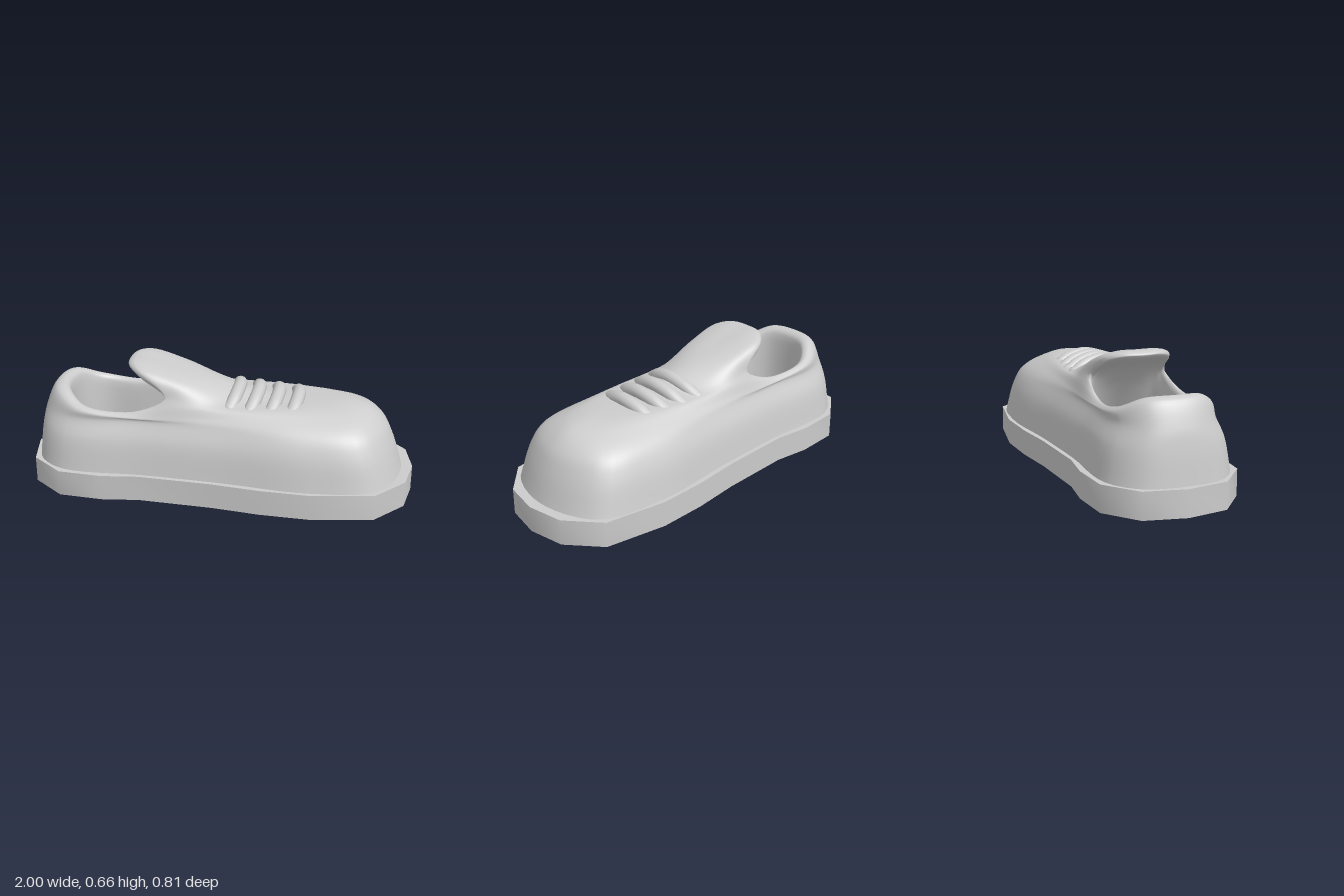
import * as THREE from 'three';
import { toCreasedNormals } from 'three/addons/utils/BufferGeometryUtils.js';

const material = new THREE.MeshStandardMaterial({ color: 0xcccccc });

function addMesh(parent, name, geometry) {
  const mesh = new THREE.Mesh(geometry, material);
  mesh.name = name;
  parent.add(mesh);
  return mesh;
}

// Plan of the side wall: fraction of length and of half width, heel to toe
const plan = [[0, 0], [.02, .52], [.097, .82], [.322, .84], [.53, .9], [.767, 1], [.94, .81], [1, 0]];

function wallRing(y, heel, toe, halfWidth) {
  return plan.map(([u, w]) => new THREE.Vector3(heel + u * (toe - heel), y, w * halfWidth));
}

// Collar edge from heel centre to the waist
const collar = [[-.835, .526, 0], [-.805, .518, .135], [-.69, .46, .222], [-.46, .437, .226]];

// A ring that follows the collar (scaled, lowered) and then arches over the
// instep from its edge point to its centre point; bend shapes the arch in plan
function instepRing({ scale, drop, centre: [xc, yc], edge: [xe, ye, ze], bend }) {
  const rear = collar.map(([x, y, z]) =>
    new THREE.Vector3(-.46 + (x + .46) * scale, Math.max(y - drop, .12), z * scale));
  const front = [1, 2 / 3, 1 / 3, 0].map((a) => new THREE.Vector3(
    xc + (xe - xc) * a ** bend, yc + (ye - yc) * a ** 3.5, ze * Math.sin(a * Math.PI / 2)));
  return [...rear, ...front];
}

const instep = [
  { scale: 1.1, drop: .016, centre: [.73, .474], edge: [-.1, .435, .24], bend: 2 },      // toe crown
  { scale: 1, drop: 0, centre: [.25, .495], edge: [-.2, .485, .222], bend: 1.2 },        // vamp
  { scale: .935, drop: .007, centre: [-.17, .603], edge: [-.25, .515, .205], bend: 1.5 }, // tongue base
  { scale: .9, drop: .02, centre: [-.445, .664], edge: [-.262, .518, .2], bend: 2.5 },   // tongue top edge
  { scale: .88, drop: .045, centre: [-.48, .643], edge: [-.26, .512, .192], bend: 2.3 }, // tongue lower edge
  { scale: .87, drop: .1, centre: [-.245, .525], edge: [-.25, .48, .185], bend: 2 },     // tongue root
  { scale: .87, drop: .5, centre: [.05, .12], edge: [-.25, .12, .185], bend: 1.5 },      // foot of the lining
];

// Mirrors the half rings, then spans a smooth closed surface through them
function loftRings(halfRings, around, up) {
  const loops = halfRings.map((side) => {
    const mirrored = side.slice(1, -1).reverse().map((p) => new THREE.Vector3(p.x, p.y, -p.z));
    return new THREE.CatmullRomCurve3([...side, ...mirrored], true, 'centripetal');
  });
  const positions = [];
  const index = [];
  const at = (i, j) => (i % around) * (up + 1) + j;
  for (let i = 0; i < around; i++) {
    const column = new THREE.CatmullRomCurve3(loops.map((l) => l.getPoint(i / around)), false, 'centripetal');
    for (let j = 0; j <= up; j++) positions.push(...column.getPoint(j / up).toArray());
    for (let j = 0; j < up; j++) {
      const a = at(i, j), b = at(i + 1, j), c = at(i + 1, j + 1), d = at(i, j + 1);
      index.push(a, b, c, a, c, d);
    }
  }
  const geometry = new THREE.BufferGeometry();
  geometry.setAttribute('position', new THREE.Float32BufferAttribute(positions, 3));
  geometry.setIndex(index);
  geometry.computeVertexNormals();
  return geometry;
}

// Faceted outline with a vertical wall
function soleGeometry() {
  const half = [[-1, 0], [-.96, .21], [-.795, .345], [-.57, .362], [-.38, .34], [0, .362],
    [.25, .393], [.5, .404], [.82, .353], [.965, .19], [1, 0]];
  const mirrored = half.slice(1, -1).reverse().map(([x, z]) => [x, -z]);
  const shape = new THREE.Shape([...half, ...mirrored].map((p) => new THREE.Vector2(...p)));
  const geometry = new THREE.ExtrudeGeometry(shape, { depth: 0.135, bevelEnabled: false });
  geometry.rotateX(-Math.PI / 2);
  return toCreasedNormals(geometry, 0.95);
}

// A fat cord bowed over the vamp, with rounded ends
function addLace(parent, x, crown, number) {
  const lace = new THREE.Group();
  lace.name = 'lace' + number;
  const radius = 0.035;
  const points = [-1, -0.55, 0, 0.55, 1].map((t) =>
    new THREE.Vector3(x + 0.015 - 0.03 * t * t, crown - radius - 0.062 * t * t, t * 0.165));
  addMesh(lace, 'laceCord', new THREE.TubeGeometry(new THREE.CatmullRomCurve3(points), 20, radius, 12));
  for (const end of [points[0], points[4]]) {
    addMesh(lace, 'laceEnd', new THREE.SphereGeometry(radius, 12, 8)).position.copy(end);
  }
  parent.add(lace);
}

export function createModel() {
  const shoe = new THREE.Group();
  shoe.name = 'shoe';
  addMesh(shoe, 'sole', soleGeometry());

  const walls = [wallRing(.13, -.965, .945, .382), wallRing(.3, -.945, .89, .345), wallRing(.395, -.925, .84, .295)];
  addMesh(shoe, 'upper', loftRings([...walls, ...instep.map(instepRing)], 84, 54));

  const laces = new THREE.Group();
  laces.name = 'laces';
  for (let i = 0; i < 4; i++) addLace(laces, .08 + .102 * i, .561 - .008 * i, i + 1);
  shoe.add(laces);
  return shoe;
}
